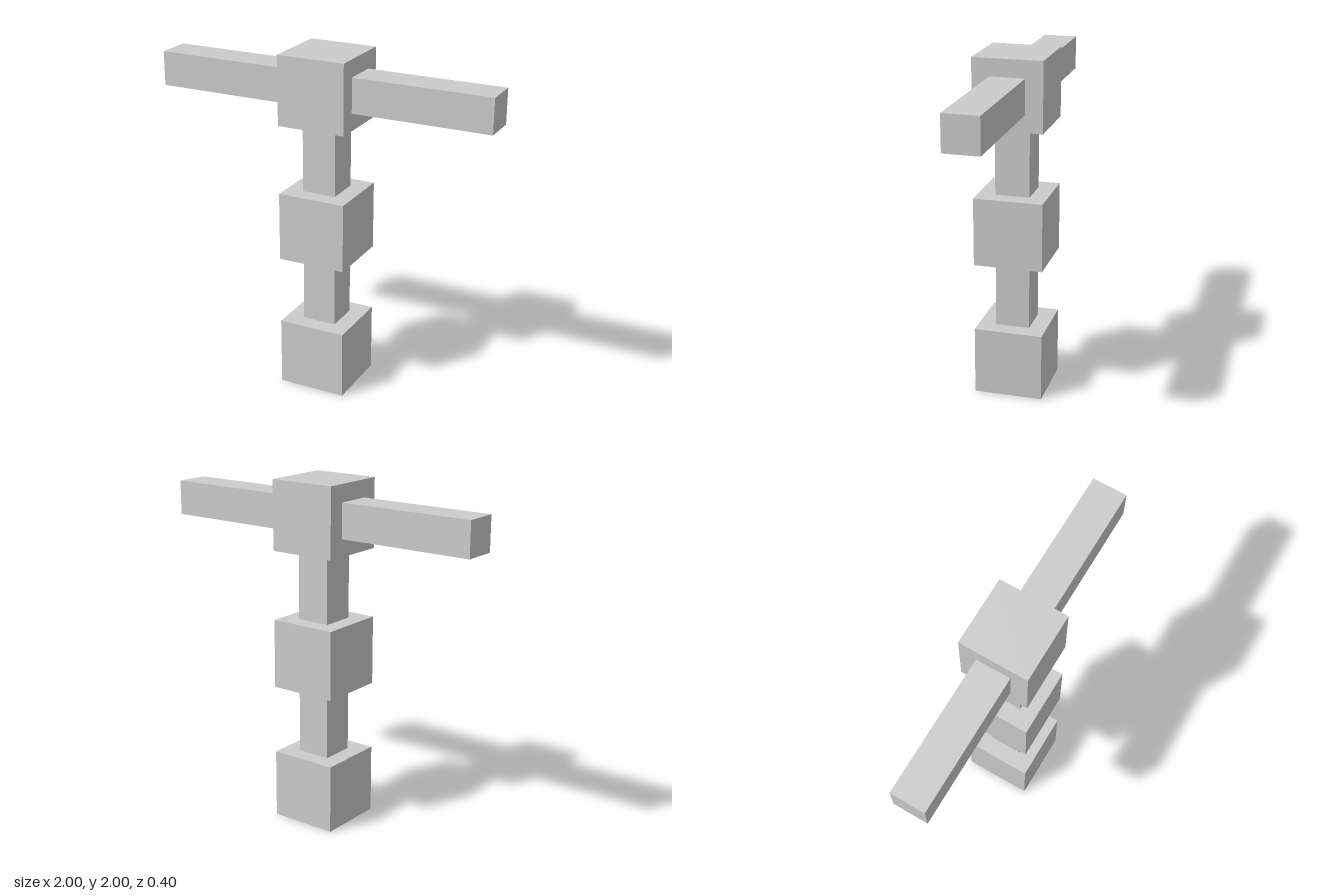
import * as THREE from 'three';

export function createModel() {
  const model = new THREE.Group();
  const material = new THREE.MeshStandardMaterial({ color: 0xcccccc, flatShading: true });

  function addBox(name, [w, h, d], [x, y, z]) {
    const mesh = new THREE.Mesh(new THREE.BoxGeometry(w, h, d), material);
    mesh.name = name;
    mesh.position.set(x, y, z);
    model.add(mesh);
  }

  // Three cubes stacked along the column
  ['baseCube', 'middleCube', 'topCube'].forEach((name, i) =>
    addBox(name, [0.4, 0.4, 0.4], [0, 0.2 + i * 0.8, 0]));

  // Square posts joining the cubes
  ['lowerPost', 'upperPost'].forEach((name, i) =>
    addBox(name, [0.2, 0.4, 0.2], [0, 0.6 + i * 0.8, 0]));

  // Mirrored arms reaching out from the top cube
  for (const [name, side] of [['leftArm', 1], ['rightArm', -1]]) {
    addBox(name, [0.8, 0.2, 0.2], [side * 0.6, 1.8, 0]);
  }

  return model;
}
